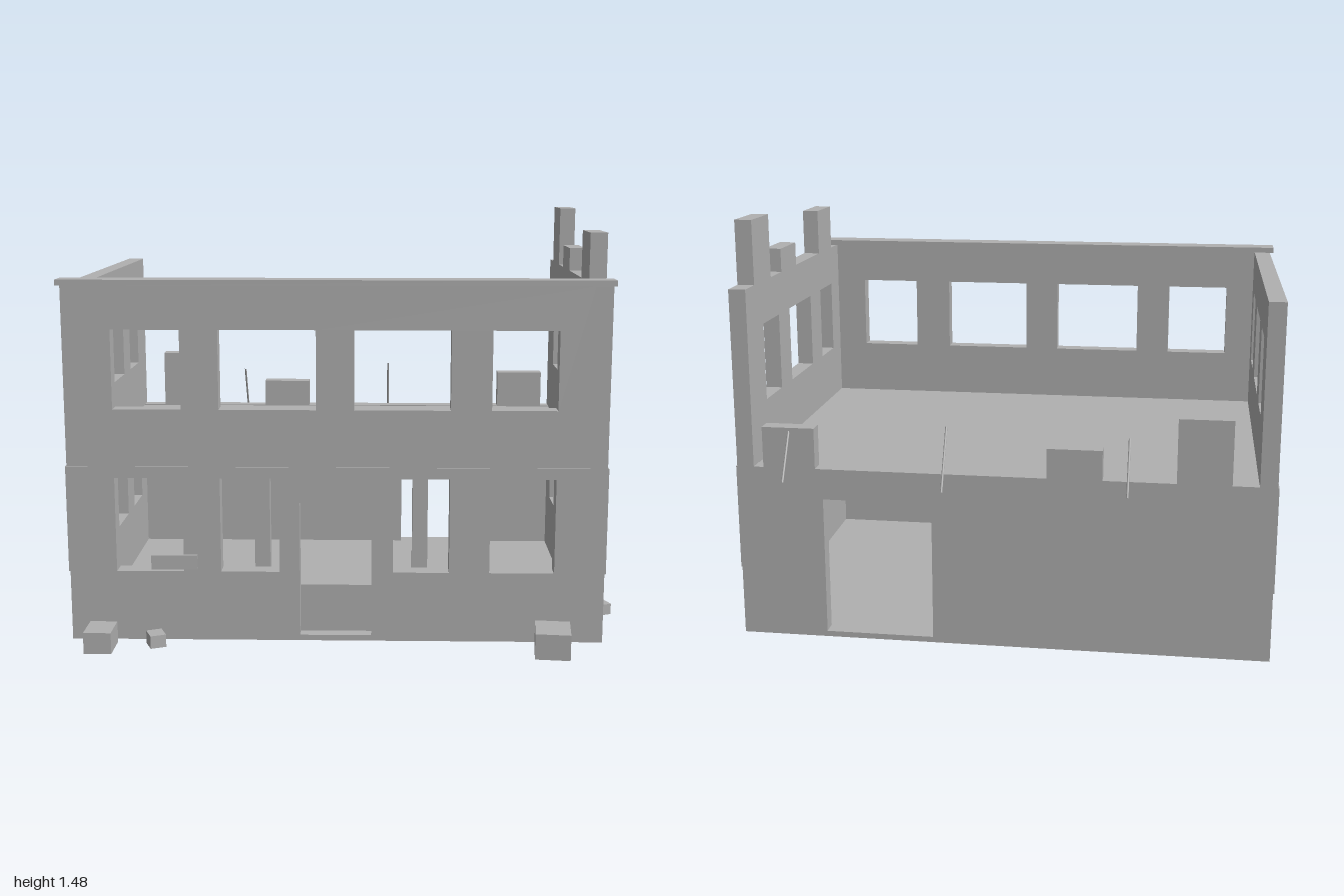
import * as THREE from 'three';

export function createModel() {
  const model = new THREE.Group();
  const concrete = new THREE.MeshStandardMaterial({ color: 0xb0b0b0 });
  concrete.name = 'grey concrete';

  const add = (name, geometry, parent = model) => {
    const mesh = new THREE.Mesh(geometry, concrete);
    mesh.name = name;
    parent.add(mesh);
    return mesh;
  };
  // Box given by its limits on each axis
  const box = (name, [x0, x1], [y0, y1], [z0, z1], parent) => {
    const mesh = add(name, new THREE.BoxGeometry(x1 - x0, y1 - y0, z1 - z0), parent);
    mesh.position.set((x0 + x1) / 2, (y0 + y1) / 2, (z0 + z1) / 2);
    return mesh;
  };
  // Upright wall from an outline, with rectangular openings [u0, u1, y0, y1]
  const wall = (name, outline, openings, depth) => {
    const shape = new THREE.Shape(outline.map(([u, y]) => new THREE.Vector2(u, y)));
    for (const [a, b, c, d] of openings) {
      shape.holes.push(new THREE.Path([[a, c], [a, d], [b, d], [b, c]].map(([u, y]) => new THREE.Vector2(u, y))));
    }
    return add(name, new THREE.ExtrudeGeometry(shape, { depth, bevelEnabled: false }));
  };
  // Outline of a wall with raised remnants [u0, u1, top], listed by descending u
  const brokenOutline = (u0, u1, top, remnants) => [
    [u0, 0], [u1, 0], [u1, top],
    ...remnants.flatMap(([a, b, h]) => [[b, top], [b, h], [a, h], [a, top]]),
    [u0, top],
  ];
  // Solid stretches left between openings
  const stretches = (start, end, gaps) => {
    const edges = [start, ...gaps.flat(), end];
    return Array.from({ length: edges.length / 2 }, (_, i) => [edges[2 * i], edges[2 * i + 1]]);
  };

  const low = [0.25, 0.585], high = [0.825, 1.1];
  const top = 1.25, floorTop = 0.625;

  // Floors
  box('groundFloor', [-0.984, 0.879], [0, 0.02], [-0.654, 0.594]);
  box('upperFloor', [-0.93, 0.825], [0.587, 0.622], [-0.65, 0.54]);

  // Front wall
  const frontLow = [[-0.82, -0.585], [-0.455, -0.25], [0.145, 0.34], [0.48, 0.705]];
  const frontHigh = [[-0.82, -0.585], [-0.455, -0.12], [0.01, 0.34], [0.48, 0.705]];
  const door = [-0.18, 0.07];
  wall('frontWall', brokenOutline(-0.925, 0.82, top, []), [
    ...frontLow.map((w) => [...w, ...low]),
    ...frontHigh.map((w) => [...w, ...high]),
    [...door, 0.02, 0.5],
  ], 0.06).position.z = 0.535;
  box('brokenDoor', door, [0.02, 0.19], [0.535, 0.55]);
  box('cornice', [-1, 0.89], [top, 1.27], [0.515, 0.605]);

  // Side walls, the left one broken along its top
  const sideGaps = [[-0.48, -0.3], [-0.17, 0.11], [0.25, 0.42]];
  const sideOpenings = sideGaps.flatMap((w) => [[...w, ...low], [...w, ...high]]);
  const remnants = [[0.25, 0.435, 1.42], [-0.25, -0.065, 1.335], [-0.56, -0.375, 1.475]];
  for (const [name, x, broken] of [['leftWall', 0.88, remnants], ['rightWall', -0.925, []]]) {
    const side = wall(name, brokenOutline(-0.655, 0.595, top, broken), sideOpenings, 0.06);
    side.rotation.y = -Math.PI / 2;
    side.position.x = x;
  }

  // Collapsed back wall
  wall('backWall', brokenOutline(-0.925, 0.82, floorTop, [
    [0.6, 0.785, 0.77], [-0.4, -0.21, 0.73], [-0.835, -0.65, 0.85],
  ]), [[0.19, 0.575, 0.02, 0.515]], 0.055).position.z = -0.655;

  // Slightly raised band around the lower windows
  const band = new THREE.Group();
  band.name = 'windowBand';
  model.add(band);
  const bandFront = [frontLow[0], frontLow[1], door, frontLow[2], frontLow[3]];
  for (const s of stretches(-0.989, 0.884, bandFront)) {
    box('frontBand', s, [0.25, 0.585], [0.595, 0.599], band);
  }
  box('frontBandTop', [-0.989, 0.884], [0.585, floorTop], [0.595, 0.599], band);
  box('doorHead', door, [0.5, 0.585], [0.595, 0.599], band);
  for (const x of [[0.88, 0.884], [-0.989, -0.985]]) {
    for (const s of stretches(-0.655, 0.595, sideGaps)) box('sideBand', x, low, s, band);
    box('sideBandTop', x, [0.585, floorTop], [-0.655, 0.595], band);
  }

  // Inner columns
  for (const x of [-0.365, 0.255]) box('column', [x - 0.03, x + 0.03], [0.02, 0.59], [-0.06, 0]);

  // Bent reinforcing rods at the back: x, upper z, upper y, lower z
  for (const [x, z0, y0, z1] of [[-0.49, -0.65, 0.775, -0.755], [0.13, -0.67, 0.8, -0.78], [0.69, -0.65, 0.76, -0.745]]) {
    const path = new THREE.LineCurve3(new THREE.Vector3(x, y0, z0), new THREE.Vector3(x, 0.6, z1));
    add('reinforcingRod', new THREE.TubeGeometry(path, 1, 0.004, 6));
  }

  // Loose plank and rubble: centre x, z, size, turn
  const plank = box('plank', [-0.695, -0.535], [0.265, 0.315], [0.612, 0.622]);
  plank.rotation.y = 0.03;
  for (const [x, z, w, h, d, turn] of [
    [-0.867, 0.685, 0.095, 0.075, 0.12, 0],
    [-0.68, 0.652, 0.055, 0.045, 0.065, 0.4],
    [0.693, 0.7, 0.12, 0.09, 0.14, -0.1],
    [0.942, -0.285, 0.075, 0.06, 0.1, 0.4],
    [0.928, 0.277, 0.045, 0.04, 0.057, 0.4],
  ]) {
    const block = add('rubbleBlock', new THREE.BoxGeometry(w, h, d));
    block.position.set(x, h / 2, z);
    block.rotation.y = turn;
  }
  return model;
}
